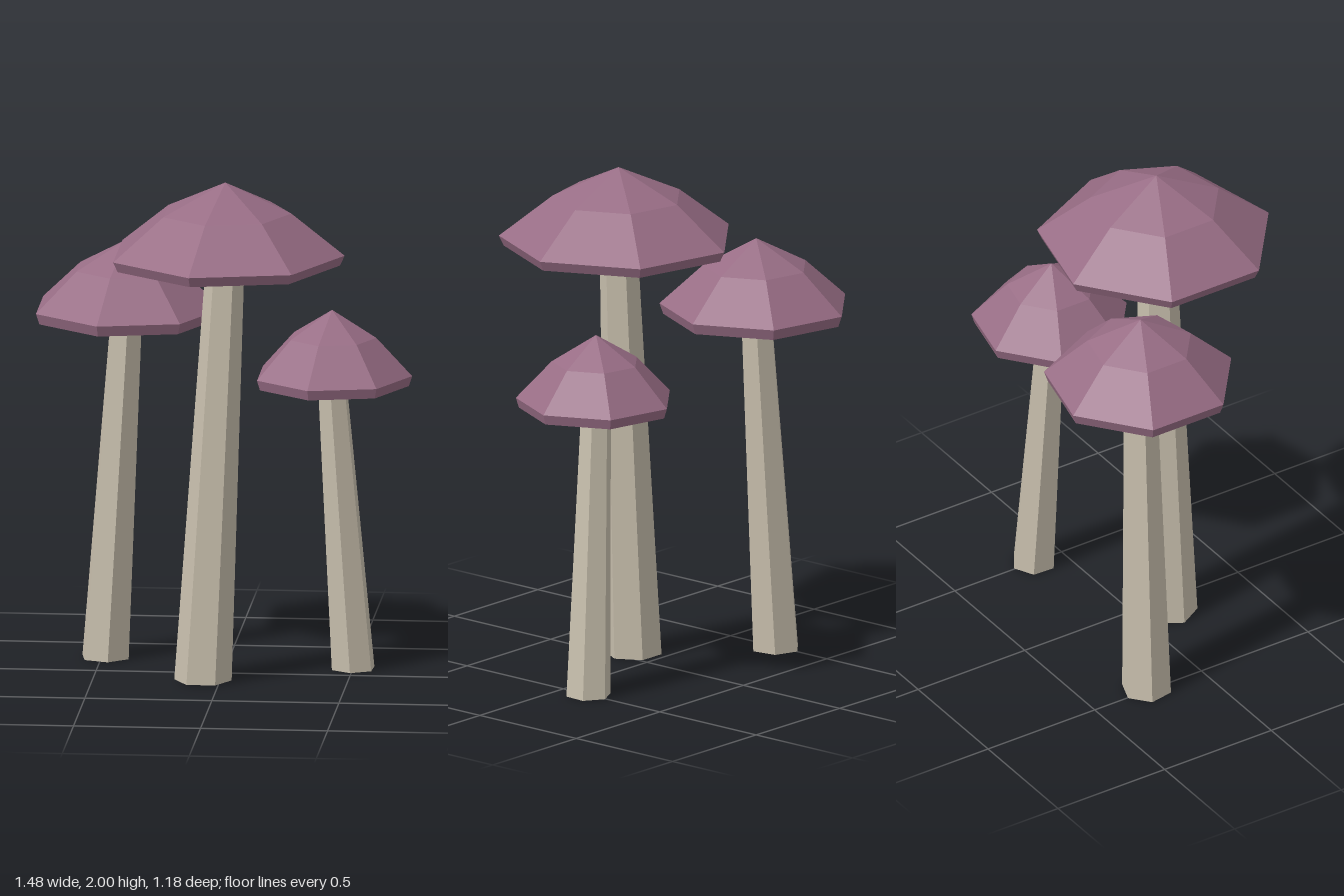
import * as THREE from 'three';

const capMaterial = new THREE.MeshStandardMaterial({ color: 0x986d85, flatShading: true });
capMaterial.name = 'dusky mauve';
const stemMaterial = new THREE.MeshStandardMaterial({ color: 0xc8bfad, flatShading: true });
stemMaterial.name = 'pale beige';

function facet(geometry) {
  const flat = geometry.toNonIndexed();
  flat.computeVertexNormals();
  return flat;
}

// Seven-sided cap: flat underside, bevelled rim, two-step dome
function makeCap({ x, z, radius, bottom, rim, top }) {
  const profile = [
    [0, bottom],
    [radius * 0.96, bottom],
    [radius, rim],
    [radius * 0.553, rim + (top - rim) * 0.58],
    [0, top],
  ].map(([r, y]) => new THREE.Vector2(r, y));
  const cap = new THREE.Mesh(facet(new THREE.LatheGeometry(profile, 7, Math.PI / 2)), capMaterial);
  cap.position.set(x, 0, z);
  cap.name = 'cap';
  return cap;
}

// Six-sided tapered stem, sheared so that its level top sits under the cap
function makeStem({ x, z, bottom, foot }) {
  const height = bottom + 0.015;
  const start = Math.PI / 2 - THREE.MathUtils.degToRad(foot.turn);
  const geometry = new THREE.CylinderGeometry(foot.radius * 0.67, foot.radius, height, 6, 1, false, start);
  geometry.translate(0, height / 2, 0);
  const p = geometry.attributes.position;
  for (let i = 0; i < p.count; i++) {
    const t = p.getY(i) / height;
    p.setX(i, p.getX(i) + THREE.MathUtils.lerp(foot.x, x, t));
    p.setZ(i, p.getZ(i) + THREE.MathUtils.lerp(foot.z, z, t));
  }
  const stem = new THREE.Mesh(facet(geometry), stemMaterial);
  stem.name = 'stem';
  return stem;
}

export function createModel() {
  const mushrooms = [
    { name: 'tallMushroom', x: 0.02, z: 0.13, radius: 0.47, bottom: 1.675, rim: 1.715, top: 2,
      foot: { x: -0.068, z: 0.13, radius: 0.113, turn: 0 } },
    { name: 'middleMushroom', x: -0.4, z: -0.22, radius: 0.38, bottom: 1.372, rim: 1.415, top: 1.685,
      foot: { x: -0.485, z: -0.247, radius: 0.1, turn: 20 } },
    { name: 'smallMushroom', x: 0.42, z: -0.1, radius: 0.315, bottom: 1.145, rim: 1.185, top: 1.445,
      foot: { x: 0.5, z: -0.13, radius: 0.09, turn: 33 } },
  ];

  const model = new THREE.Group();
  model.name = 'mushroomCluster';
  for (const spec of mushrooms) {
    const mushroom = new THREE.Group();
    mushroom.name = spec.name;
    mushroom.add(makeStem(spec), makeCap(spec));
    model.add(mushroom);
  }
  return model;
}
